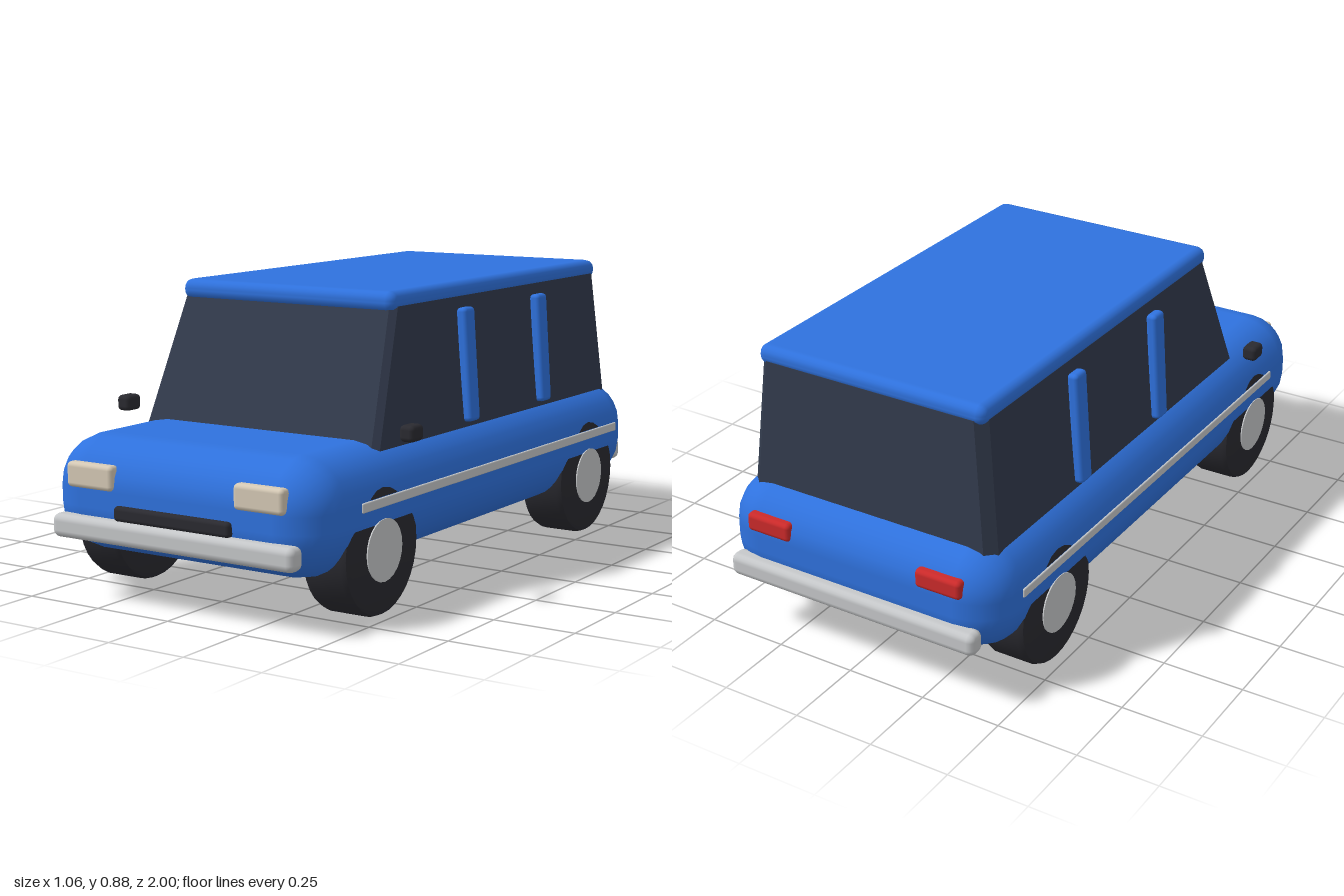
import * as THREE from 'three';
import { RoundedBoxGeometry } from 'three/addons/geometries/RoundedBoxGeometry.js';
import { toCreasedNormals } from 'three/addons/utils/BufferGeometryUtils.js';

const material = (name, color) => {
  const m = new THREE.MeshStandardMaterial({ color });
  m.name = name;
  return m;
};

// Tapered cabin lofted from two rings with small corner bevels
function cabinGeometry() {
  const ring = (y, w, front, back) => {
    const c = 0.018, r = 0.03;
    return [
      [w - c, y, front], [w, y, front - c], [w, y, back + r], [w - r, y, back],
      [r - w, y, back], [-w, y, back + r], [-w, y, front - c], [c - w, y, front],
    ];
  };
  const low = ring(0.44, 0.416, 0.583, -0.886);
  const high = ring(0.84, 0.376, 0.422, -0.864);
  const n = low.length, index = [];
  for (let i = 0; i < n; i++) {
    const j = (i + 1) % n;
    index.push(i, j, n + j, i, n + j, n + i);
    if (i > 0 && i < n - 1) index.push(n, n + i, n + i + 1, 0, i + 1, i);
  }
  const g = new THREE.BufferGeometry();
  g.setAttribute('position', new THREE.Float32BufferAttribute([...low, ...high].flat(), 3));
  g.setIndex(index);
  return toCreasedNormals(g, 0.4);
}

// Tyre with bevelled shoulders, turned so its axle lies along x
function tyreGeometry() {
  const w = 0.076, r = 0.19, b = 0.022;
  const profile = [[0, -w], [r - b, -w], [r - b * 0.3, -w + b * 0.3], [r, -w + b],
    [r, w - b], [r - b * 0.3, w - b * 0.3], [r - b, w], [0, w]];
  const g = new THREE.LatheGeometry(profile.map(p => new THREE.Vector2(...p)), 32);
  g.rotateZ(-Math.PI / 2);
  return toCreasedNormals(g, 0.6);
}

export function createModel() {
  const car = new THREE.Group();
  car.name = 'car';

  const blue = material('blue paint', 0x2f72de);
  const glass = material('dark glass', 0x323a4c);
  const rubber = material('black rubber', 0x2a2a30);
  const chrome = material('chrome', 0xc6c8ca);
  const cream = material('headlight cream', 0xd6cab6);
  const red = material('tail light red', 0xcc2a2a);

  const add = (name, geometry, mat, x = 0, y = 0, z = 0) => {
    const mesh = new THREE.Mesh(geometry, mat);
    mesh.name = name;
    mesh.position.set(x, y, z);
    car.add(mesh);
    return mesh;
  };
  // Rounded block given by its size and centre
  const block = (name, mat, [w, h, d], [x, y, z], radius, segments = 2) =>
    add(name, new RoundedBoxGeometry(w, h, d, segments, radius), mat, x, y, z);

  // Body, cabin and roof
  block('body', blue, [0.956, 0.34, 1.94], [0, 0.305, 0], 0.145, 3);
  add('cabin', cabinGeometry(), glass);
  block('roof', blue, [0.756, 0.062, 1.3], [0, 0.853, -0.215], 0.028);

  // Bumpers and grille
  block('frontBumper', chrome, [0.84, 0.07, 0.06], [0, 0.221, 0.97], 0.022);
  block('rearBumper', chrome, [0.84, 0.07, 0.06], [0, 0.221, -0.97], 0.022);
  block('grille', rubber, [0.404, 0.044, 0.04], [0, 0.276, 0.966], 0.012);

  const tyre = tyreGeometry();
  const hub = new THREE.CylinderGeometry(0.09, 0.09, 0.16, 24).rotateZ(Math.PI / 2);

  for (const side of [1, -1]) {
    const label = side > 0 ? 'left' : 'right';

    // Lights
    block(label + 'Headlight', cream, [0.166, 0.074, 0.04], [side * 0.293, 0.371, 0.96], 0.014);
    block(label + 'TailLight', red, [0.15, 0.058, 0.04], [side * 0.29, 0.37, -0.957], 0.014);

    // Mirror and side trim
    block(label + 'Mirror', rubber, [0.048, 0.048, 0.064], [side * 0.505, 0.508, 0.539], 0.014);
    block(label + 'TrimStrip', chrome, [0.014, 0.028, 1.58], [side * 0.475, 0.327, -0.04], 0.004);

    // Window pillars leaning in with the cabin
    for (const z of [0.055, -0.41]) {
      block(label + 'Pillar', blue, [0.036, 0.344, 0.06], [side * 0.409, 0.637, z], 0.013)
        .rotation.z = side * 0.07;
    }

    // Wheels
    for (const z of [0.635, -0.635]) {
      add(label + 'Tyre', tyre, rubber, side * 0.4, 0.19, z);
      add(label + 'Hub', hub, chrome, side * 0.4, 0.19, z);
    }
  }
  return car;
}
